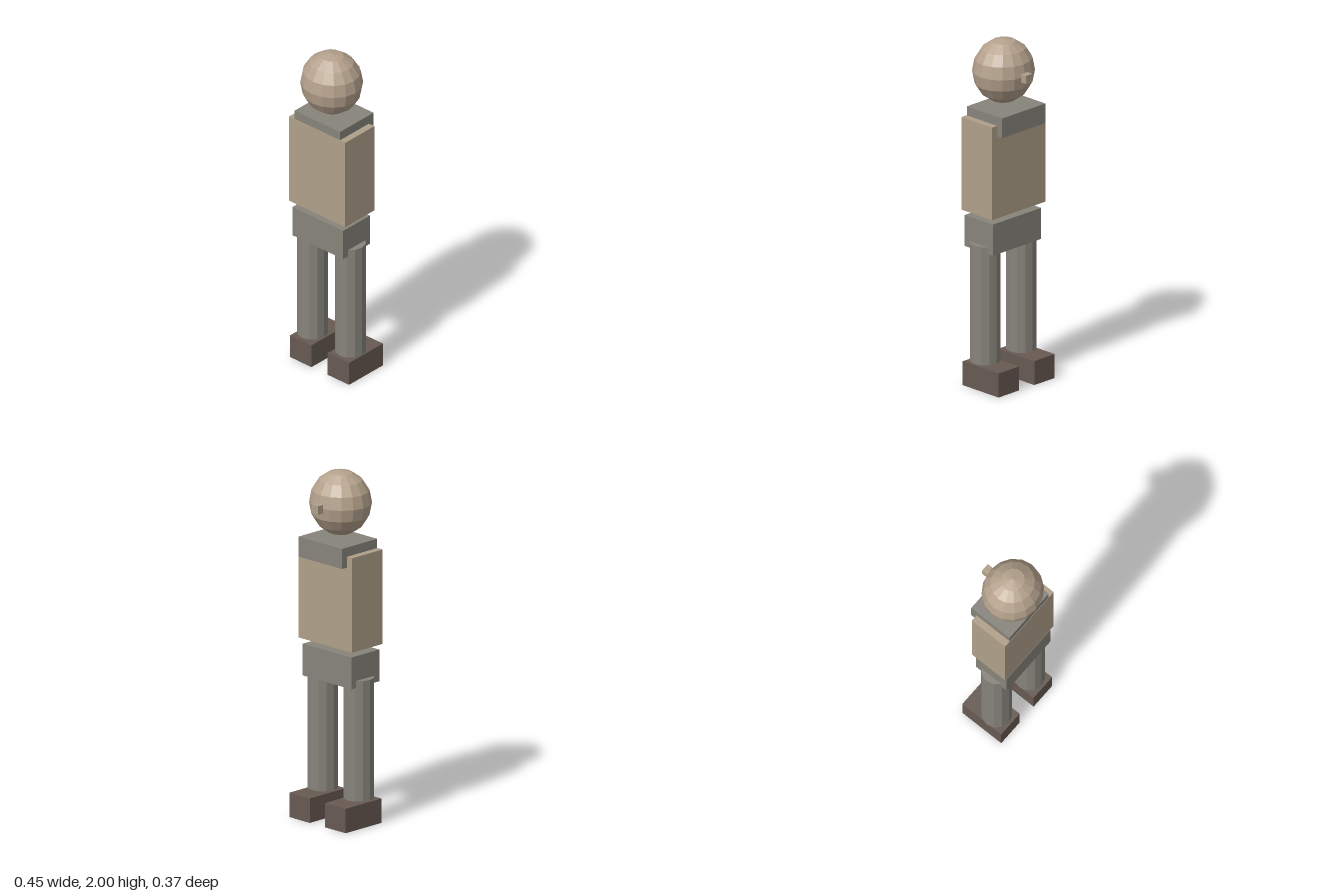
import * as THREE from 'three';

const flat = (name, color) => {
  const m = new THREE.MeshStandardMaterial({ color, flatShading: true });
  m.name = name;
  return m;
};

export function createModel() {
  const group = new THREE.Group();
  group.name = 'blockFigure';

  const skin = flat('skin', 0xb5a28d);
  const shirt = flat('shirt', 0xb0a08a);
  const grey = flat('grey cloth', 0x87847b);
  const leather = flat('dark leather', 0x685a53);

  const add = (name, geometry, material, x, y, z) => {
    const mesh = new THREE.Mesh(geometry, material);
    mesh.name = name;
    mesh.position.set(x, y, z);
    group.add(mesh);
    return mesh;
  };

  // Box given by its minimum and maximum corners
  const box = (name, material, [x0, y0, z0], [x1, y1, z1]) =>
    add(name, new THREE.BoxGeometry(x1 - x0, y1 - y0, z1 - z0), material,
      (x0 + x1) / 2, (y0 + y1) / 2, (z0 + z1) / 2);

  // Head: a coarse sphere, slightly taller than deep; the nose points to -z
  add('head', new THREE.SphereGeometry(1, 16, 8), skin, 0, 1.816, 0.014)
    .scale.set(0.178, 0.184, 0.168);
  box('nose', shirt, [-0.025, 1.79, -0.185], [0.025, 1.838, -0.137]);

  // Trunk: the collar stays just behind the shirt's +z face
  box('collar', grey, [-0.168, 1.5, -0.143], [0.168, 1.615, 0.131]);
  box('torso', shirt, [-0.208, 1.02, -0.105], [0.208, 1.562, 0.133]);
  box('pelvis', grey, [-0.188, 0.803, -0.091], [0.188, 0.985, 0.127]);

  // Legs and shoes, mirrored
  for (const [side, s] of [['left', 1], ['right', -1]]) {
    add(side + 'Leg', new THREE.CylinderGeometry(0.0865, 0.0865, 0.692, 12), grey,
      s * 0.1405, 0.497, 0.016);
    add(side + 'Shoe', new THREE.BoxGeometry(0.158, 0.14, 0.278), leather,
      s * 0.139, 0.07, -0.026);
  }

  return group;
}
